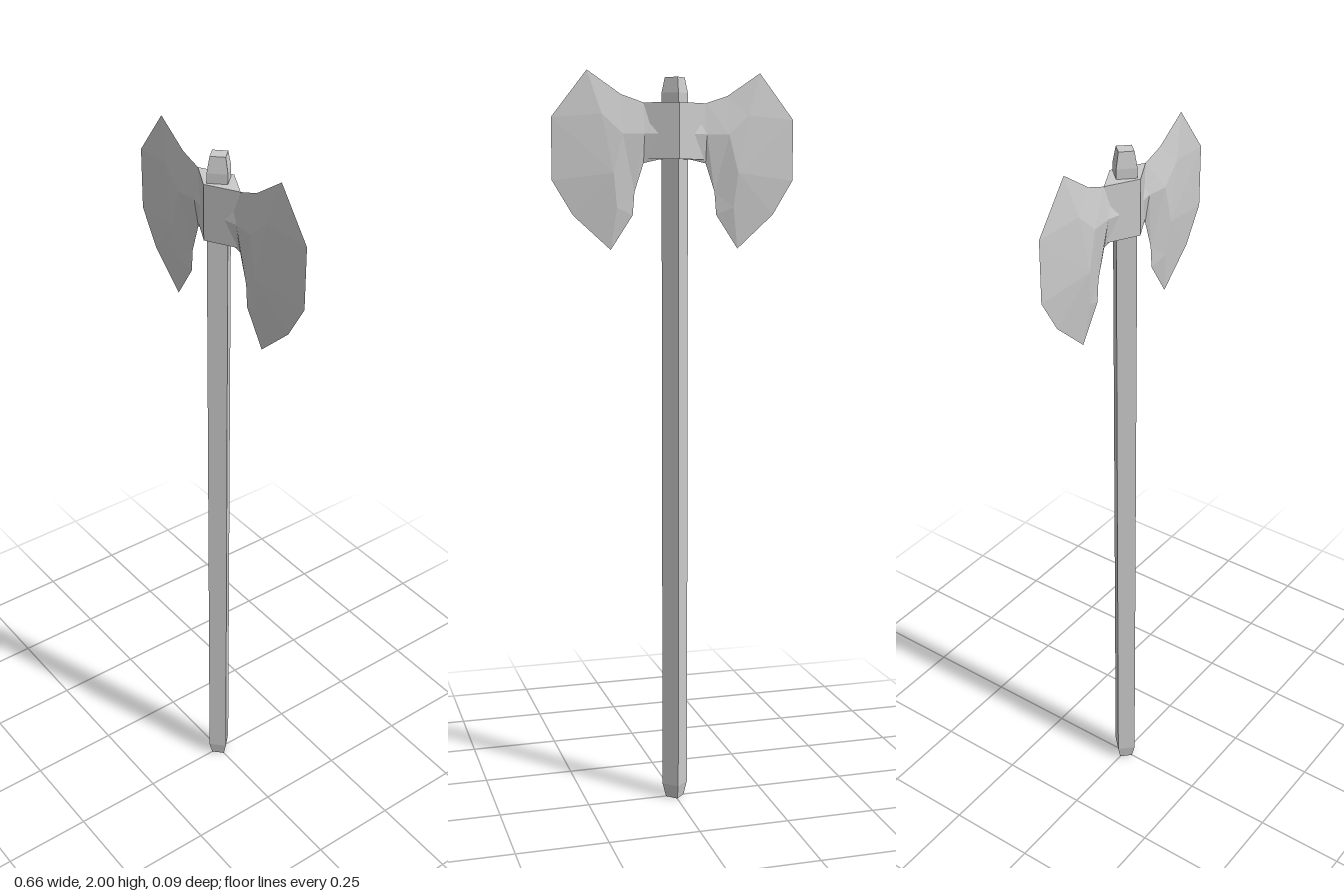
import * as THREE from 'three';

const material = new THREE.MeshStandardMaterial({ color: 0xcccccc, flatShading: true });

function addMesh(parent, name, geometry) {
  const mesh = new THREE.Mesh(geometry, material);
  mesh.name = name;
  parent.add(mesh);
  return mesh;
}

// Four-sided diamond bar from [radius, y] pairs, bottom to top
function diamondBar(profile) {
  return new THREE.LatheGeometry(profile.map(([r, y]) => new THREE.Vector2(r, y)), 4);
}

// One half of the axe head: faceted faces over a sharp outline, mirrored in z
function bladeGeometry() {
  const points = [
    [0.04, 1.92, 0], [0.04, 1.84, 0.021], [0.04, 1.775, 0],       // root
    [0.085, 1.92, 0], [0.085, 1.84, 0.012], [0.085, 1.765, 0],    // neck
    [0.145, 1.94, 0], [0.145, 1.84, 0.018], [0.17, 1.74, 0.02],   // top edge, ridge
    [0.11, 1.69, 0], [0.115, 1.63, 0],                            // inner lower edge
    [0.235, 2.0, 0], [0.33, 1.88, 0], [0.33, 1.72, 0],            // cutting edge
    [0.275, 1.63, 0], [0.175, 1.54, 0],
    [0.2, 1.89, 0.014], [0.16, 1.65, 0.012],                      // ridge ends
  ];
  const faces = [
    [0, 1, 4, 3], [1, 2, 5, 4], [3, 4, 7, 6], [4, 5, 9, 7],
    [7, 9, 8], [9, 10, 17, 8], [10, 15, 17], [15, 14, 17], [17, 14, 8],
    [14, 13, 8], [13, 12, 8], [8, 12, 16], [7, 8, 16],
    [6, 7, 16], [6, 16, 11], [11, 16, 12],
  ];
  const positions = [];
  const push = (i, side) => positions.push(points[i][0], points[i][1], points[i][2] * side);
  for (const face of faces) {
    for (let k = 1; k < face.length - 1; k++) {
      [face[0], face[k], face[k + 1]].forEach((i) => push(i, 1));
      [face[0], face[k + 1], face[k]].forEach((i) => push(i, -1));
    }
  }
  const geometry = new THREE.BufferGeometry();
  geometry.setAttribute('position', new THREE.Float32BufferAttribute(positions, 3));
  geometry.computeVertexNormals();
  return geometry;
}

export function createModel() {
  const axe = new THREE.Group();
  axe.name = 'doubleAxe';

  // Long shaft with tapered ends
  addMesh(axe, 'handle', diamondBar([
    [0, 0], [0.026, 0], [0.036, 0.04], [0.036, 1.945], [0.027, 1.985], [0, 1.985],
  ]));

  // Collar, wider towards the blades
  const collar = addMesh(axe, 'collar', diamondBar([
    [0, 1.775], [1, 1.775], [1, 1.92], [0, 1.92],
  ]));
  collar.geometry.scale(0.085, 1, 0.045);

  // Two matching blades
  const blade = bladeGeometry();
  addMesh(axe, 'leftBlade', blade);
  addMesh(axe, 'rightBlade', blade).rotation.y = Math.PI;

  return axe;
}
